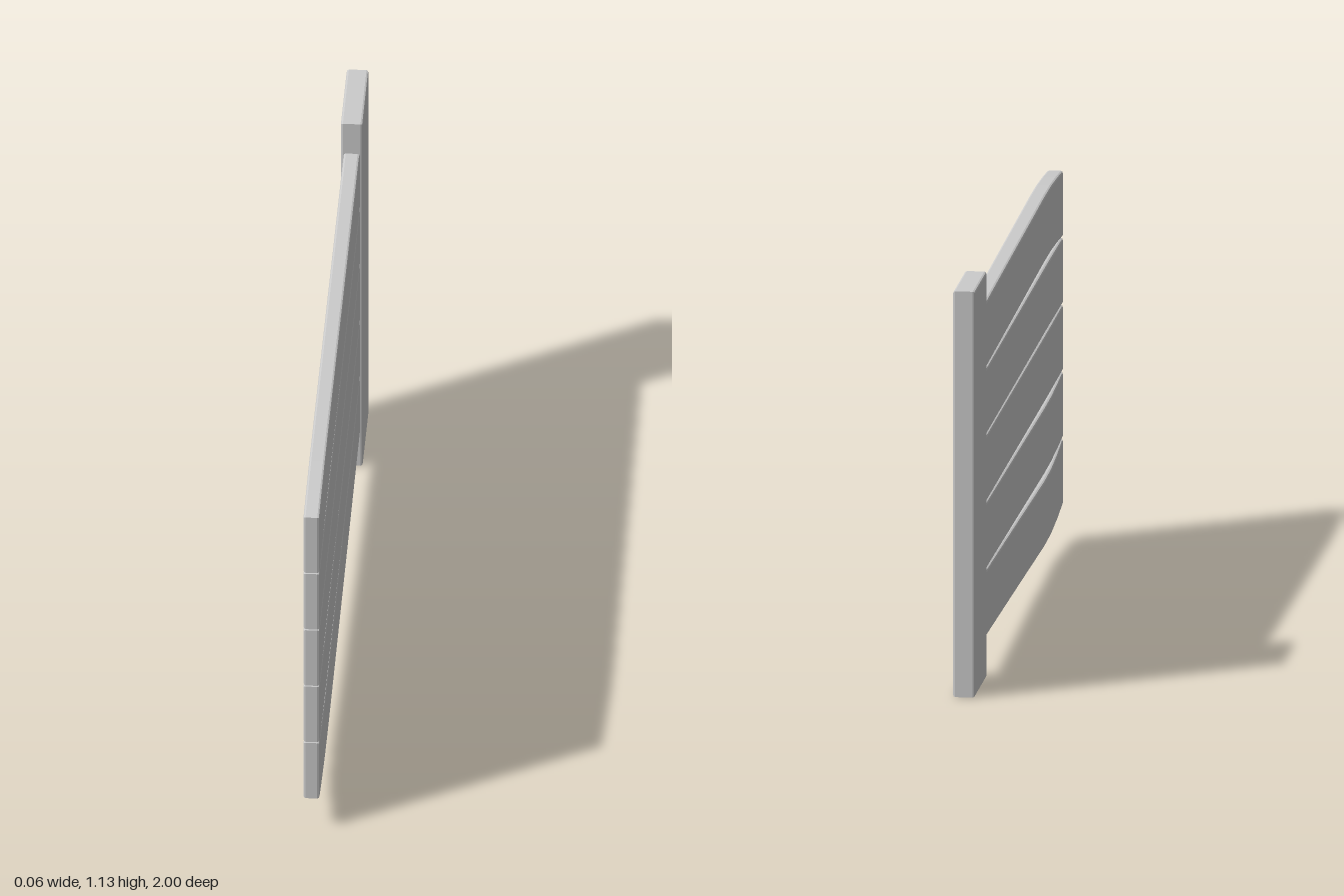
import * as THREE from 'three';

const material = new THREE.MeshStandardMaterial({ color: 0xcccccc });

// Extrudes a side outline of [z, y] points across x, with softened edges.
function board(name, outline, width, bevel) {
  const shape = new THREE.Shape(outline.map(([z, y]) => new THREE.Vector2(z, y)));
  const geometry = new THREE.ExtrudeGeometry(shape, {
    depth: width - 2 * bevel,
    bevelEnabled: true,
    bevelThickness: bevel,
    bevelSize: bevel,
    bevelOffset: -bevel,
    bevelSegments: 2,
  });
  geometry.translate(0, 0, bevel - width / 2);
  geometry.rotateY(-Math.PI / 2);
  const mesh = new THREE.Mesh(geometry, material);
  mesh.name = name;
  return mesh;
}

export function createModel() {
  const group = new THREE.Group();
  group.name = 'fencePanel';

  // Upright post at the back end
  group.add(board('post', [[-1, 0], [-0.74, 0], [-0.74, 1.13], [-1, 1.13]], 0.06, 0.006));

  // Warped planks: share of the bow along z, from the post to the free end
  const bend = [[-0.75, 0], [0, 0.54], [0.6, 1], [0.75, 0.93], [0.88, 0.55], [1, 0]];
  const bows = [-0.031, -0.015, -0.002, 0.002, 0.015];
  const height = 0.183;
  bows.forEach((bow, i) => {
    const base = 0.103 + i * 0.1865;
    const bottom = bend.map(([z, k]) => [z, base + k * bow]);
    const top = bottom.map(([z, y]) => [z, y + height]).reverse();
    group.add(board('plank' + (i + 1), [...bottom, ...top], 0.044, 0.006));
  });

  return group;
}
